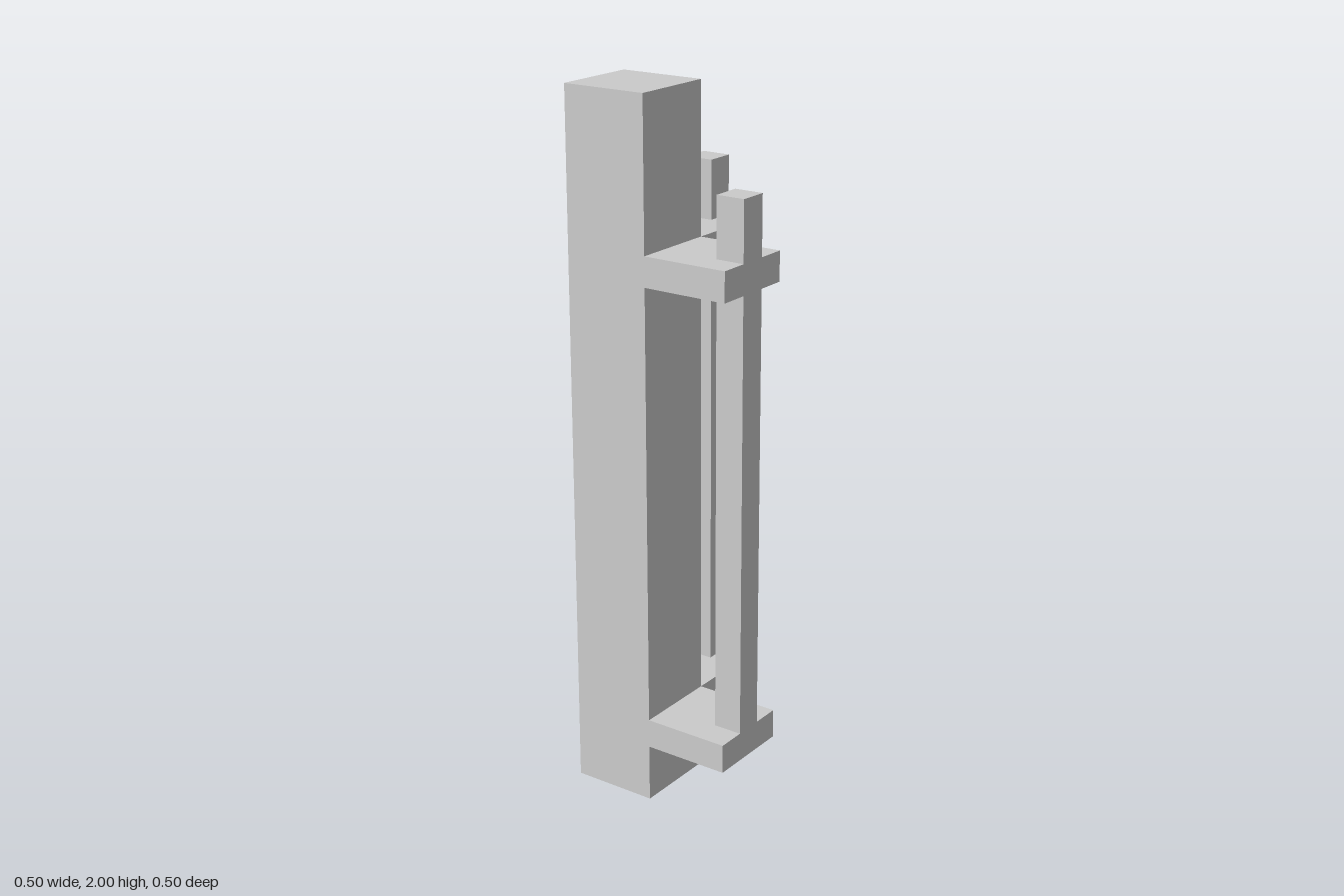
import * as THREE from 'three';

const U = 1 / 12; // module width of the slats and rails
const material = new THREE.MeshStandardMaterial({ color: 0xcccccc, flatShading: true });

// Box given by its minimum and maximum corners, in modules
function block(name, min, max) {
  const size = max.map((v, i) => (v - min[i]) * U);
  const mesh = new THREE.Mesh(new THREE.BoxGeometry(...size), material);
  mesh.name = name;
  mesh.position.set(...max.map((v, i) => ((v + min[i]) / 2) * U));
  return mesh;
}

// Two square rails carrying an upright slat flush with their outer edge
function railSection(name) {
  const section = new THREE.Group();
  section.name = name;
  section.add(
    block('lowerRail', [0, 2, 0], [3, 3, 3]),
    block('upperRail', [0, 18, 0], [3, 19, 3]),
    block('slat', [2, 3, 1], [3, 18, 2]),
    block('slatTip', [2, 19, 1], [3, 21, 2])
  );
  return section;
}

export function createModel() {
  const model = new THREE.Group();
  model.name = 'cornerFence';

  // Corner post
  model.add(block('post', [-3, 0, 0], [0, 24, 3]));

  // Left arm, and the same arm turned to run backwards from the post
  const leftArm = railSection('leftArm');
  const backArm = railSection('backArm');
  backArm.rotation.y = Math.PI / 2;
  backArm.position.x = -3 * U;
  model.add(leftArm, backArm);

  return model;
}
